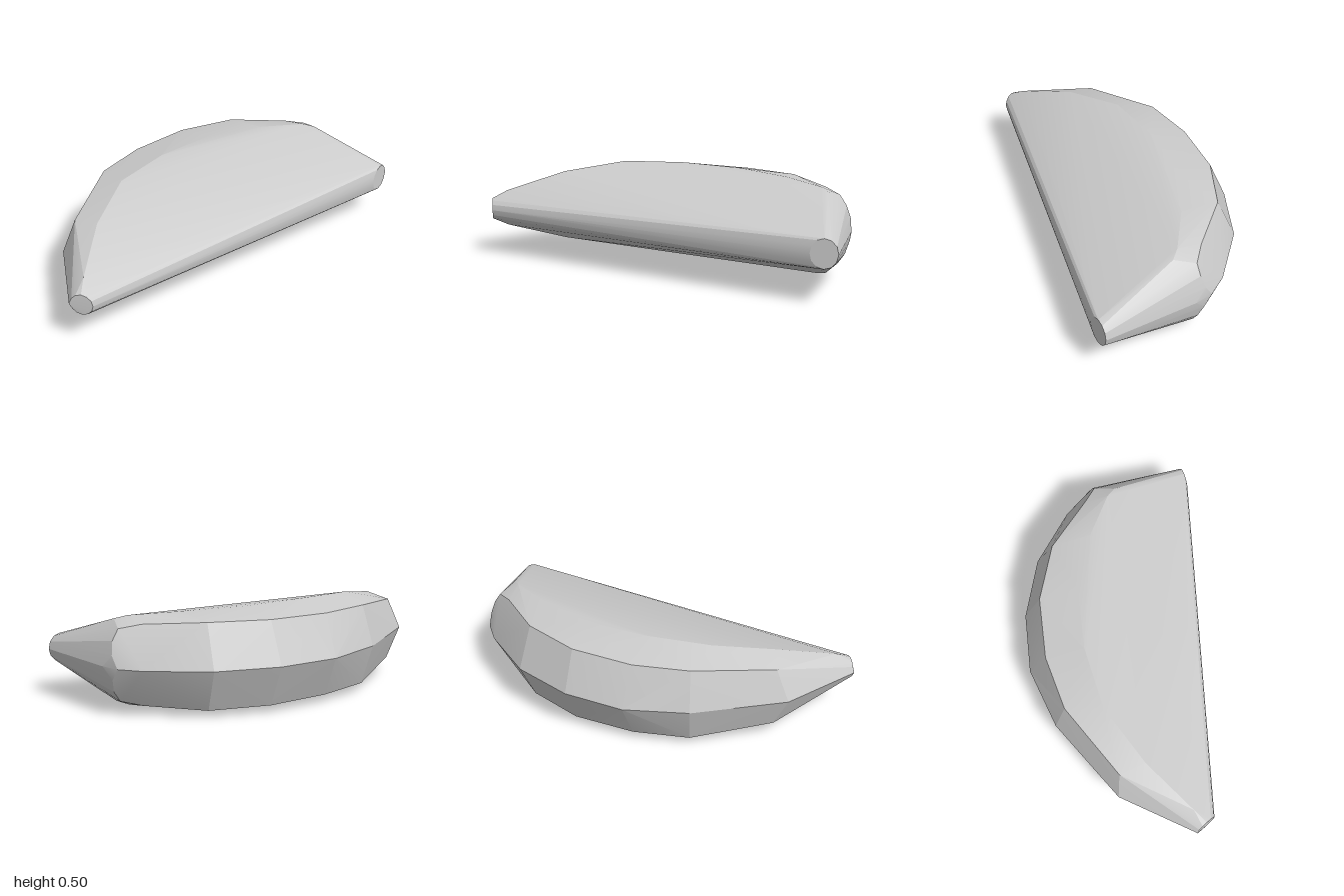
import * as THREE from 'three';
import { ConvexGeometry } from 'three/addons/geometries/ConvexGeometry.js';
import { toCreasedNormals } from 'three/addons/utils/BufferGeometryUtils.js';

const MID = 0.252; // height of the symmetry plane

export function createModel() {
  const group = new THREE.Group();
  group.name = 'wedge';
  const points = [];
  // [x, z, half height], mirrored above and below the symmetry plane
  const addRing = (ring) => {
    for (const [x, z, h] of ring) {
      points.push(new THREE.Vector3(x, MID + h, z));
      if (h > 0) points.push(new THREE.Vector3(x, MID - h, z));
    }
  };

  // outer rim of the curved back
  addRing([[-1, -0.02, 0], [-0.7, -0.34, 0], [-0.24, -0.535, 0], [0.09, -0.578, 0], [0.4, -0.513, 0],
    [0.69, -0.36, 0], [0.92, -0.12, 0], [0.985, -0.01, 0], [0.997, 0.09, 0]]);
  // shoulder between the back and the sides
  addRing([[-0.63, -0.31, 0.165], [-0.23, -0.47, 0.207], [0.06, -0.483, 0.208], [0.38, -0.42, 0.212],
    [0.65, -0.27, 0.215], [0.85, -0.03, 0.2], [0.93, 0.05, 0.178], [0.965, 0.05, 0.125], [0.985, 0.03, 0.06]]);
  // border of the broad side faces
  addRing([[-0.9, -0.01, 0.098], [-0.62, -0.17, 0.19], [-0.3, -0.285, 0.244], [0.03, -0.282, 0.251],
    [0.36, -0.215, 0.246], [0.64, -0.06, 0.237], [0.84, 0.1, 0.223], [0.88, 0.15, 0.206]]);

  // rounded ends of the thin straight edge
  const addEnd = (cx, cz, rx, rz, h) => {
    for (let i = 0; i < 12; i++) {
      const a = (i / 12) * Math.PI * 2;
      points.push(new THREE.Vector3(cx + rx * Math.cos(a), MID + h * Math.sin(a), cz + rz * Math.cos(a)));
    }
  };
  addEnd(-0.972, 0.035, 0.022, 0.052, 0.057);
  addEnd(0.917, 0.572, 0.067, 0, 0.073);

  const geometry = toCreasedNormals(new ConvexGeometry(points), 0.25);
  const body = new THREE.Mesh(geometry, new THREE.MeshStandardMaterial({ color: 0xcccccc }));
  body.name = 'wedgeBody';
  group.add(body);
  return group;
}
